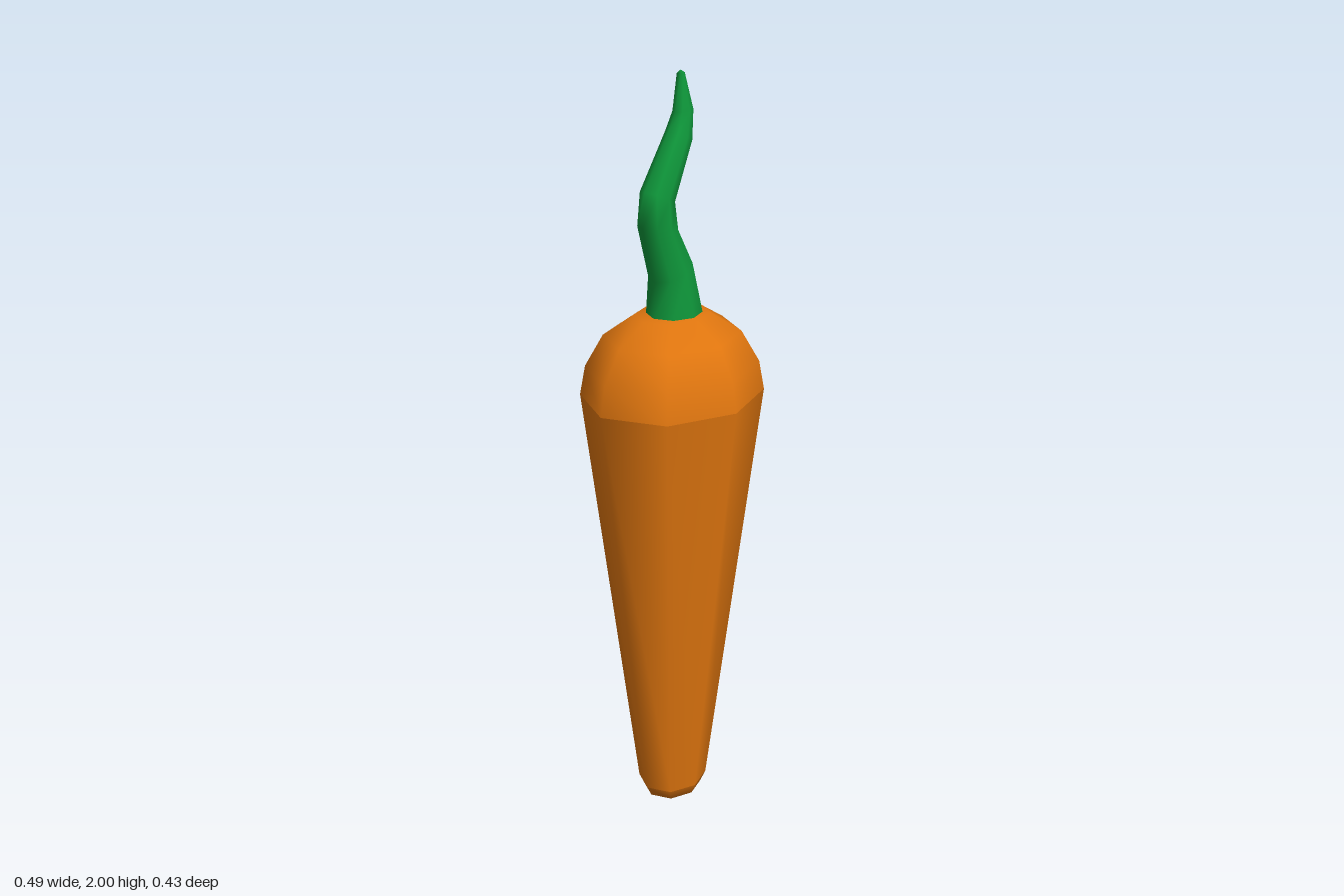
import * as THREE from 'three';
import { mergeVertices } from 'three/addons/utils/BufferGeometryUtils.js';

const SIDES = 8;
const DEPTH = 0.87; // the root is slightly flattened front to back

export function createModel() {
  const model = new THREE.Group();
  const orange = new THREE.MeshStandardMaterial({ color: 0xe0760f });
  orange.name = 'carrot orange';
  const green = new THREE.MeshStandardMaterial({ color: 0x0f983b });
  green.name = 'stem green';

  // Eight-sided lathe piece from [radius, y] points, bottom to top
  const turn = (name, profile) => {
    const points = profile.map(([r, y]) => new THREE.Vector2(r, y));
    const geometry = new THREE.LatheGeometry(points, SIDES);
    geometry.scale(1, 1, DEPTH);
    const mesh = new THREE.Mesh(geometry, orange);
    mesh.name = name;
    model.add(mesh);
  };

  // Root: separate pieces keep the edges between them sharp
  turn('rootTip', [[0, 0], [0.05, 0.004], [0.085, 0.028], [0.1, 0.06]]);
  turn('rootBody', [[0.1, 0.06], [0.247, 1.215]]);
  turn('rootShoulder', [[0.247, 1.215], [0.232, 1.29], [0.183, 1.37], [0.1, 1.42], [0, 1.425]]);

  // Stem rings: left edge x, y, right edge x, y, half depth
  const rings = [
    [-0.067, 1.415, 0.08, 1.42, 0.066],
    [-0.06, 1.51, 0.045, 1.555, 0.055],
    [-0.1, 1.65, 0, 1.635, 0.047],
    [-0.093, 1.735, -0.008, 1.7, 0.04],
    [-0.013, 1.865, 0.055, 1.835, 0.03],
    [0.009, 1.905, 0.061, 1.91, 0.023],
    [0.018, 1.992, 0.037, 1.994, 0.009],
    [0.027, 2, 0.027, 2, 0],
  ];
  const last = rings.length - 1;
  const stemGeometry = new THREE.CylinderGeometry(1, 1, last, SIDES, last, true);
  const position = stemGeometry.attributes.position;
  for (let i = 0; i < position.count; i++) {
    const ring = rings[Math.round(position.getY(i) + last / 2)];
    const t = (position.getX(i) + 1) / 2;
    position.setXYZ(
      i,
      THREE.MathUtils.lerp(ring[0], ring[2], t),
      THREE.MathUtils.lerp(ring[1], ring[3], t),
      position.getZ(i) * ring[4],
    );
  }
  // Weld the seam so the shading is smooth all round
  stemGeometry.deleteAttribute('uv');
  stemGeometry.deleteAttribute('normal');
  const welded = mergeVertices(stemGeometry);
  welded.computeVertexNormals();
  const stem = new THREE.Mesh(welded, green);
  stem.name = 'stem';
  model.add(stem);

  return model;
}
